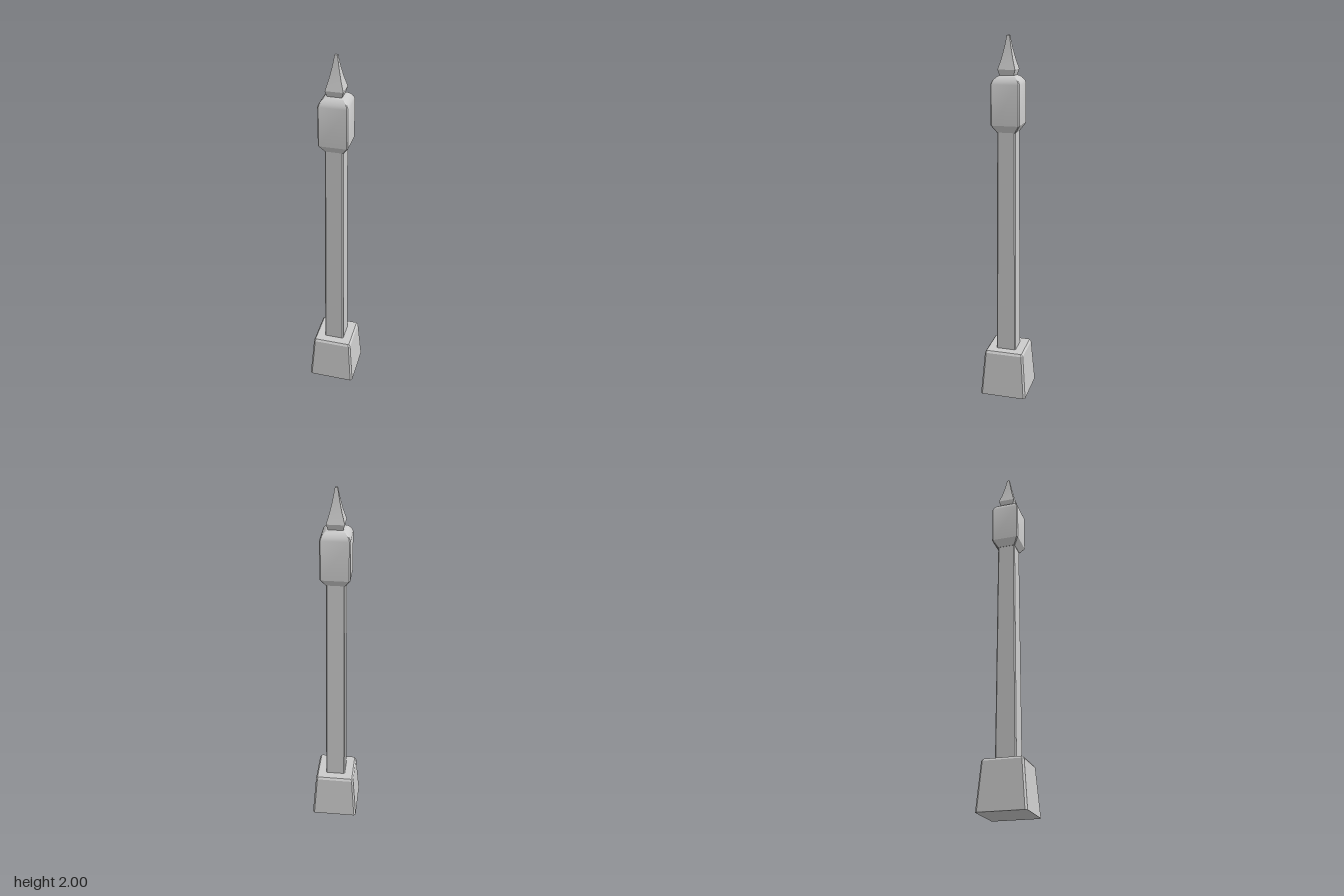
import * as THREE from 'three';
import { toCreasedNormals } from 'three/addons/utils/BufferGeometryUtils.js';

const material = new THREE.MeshStandardMaterial({ color: 0xcccccc });

// Square cross-section at height y: half width h, corner chamfer c (0 = sharp).
function squareRing([y, h, c = 0]) {
  const corner = c > 0 ? [[h, c - h], [h - c, -h]] : [[h, -h]];
  const ring = [];
  for (let k = 0; k < 4; k++) {
    for (const [x, z] of corner) {
      let p = [x, z];
      for (let r = 0; r < k; r++) p = [p[1], -p[0]];
      ring.push([p[0], y, p[1]]);
    }
  }
  return ring;
}

// Closed solid lofted through square sections, bottom to top.
function loft(name, sections) {
  const rings = sections.map(squareRing);
  const n = rings[0].length;
  const pos = [];
  const tri = (a, b, c) => pos.push(...a, ...b, ...c);
  for (let s = 0; s < rings.length - 1; s++) {
    const lo = rings[s], up = rings[s + 1];
    for (let i = 0; i < n; i++) {
      const j = (i + 1) % n;
      tri(lo[i], lo[j], up[j]);
      tri(lo[i], up[j], up[i]);
    }
  }
  const bottom = rings[0], top = rings[rings.length - 1];
  for (let i = 1; i < n - 1; i++) {
    tri(top[0], top[i], top[i + 1]);
    tri(bottom[0], bottom[i + 1], bottom[i]);
  }
  const geometry = new THREE.BufferGeometry();
  geometry.setAttribute('position', new THREE.Float32BufferAttribute(pos, 3));
  const mesh = new THREE.Mesh(toCreasedNormals(geometry, 0.45), material);
  mesh.name = name;
  return mesh;
}

export function createModel() {
  const group = new THREE.Group();
  group.name = 'post';

  // Tapered plinth with a bevelled top edge
  group.add(loft('base', [[0, 0.131, 0.01], [0.253, 0.111, 0.009], [0.265, 0.102, 0.004]]));

  // Slightly tapering shaft
  group.add(loft('shaft', [[0.26, 0.056, 0.006], [1.52, 0.049, 0.006]]));

  // Wider head block with a flared underside and rounded shoulders
  group.add(loft('head', [
    [1.508, 0.051, 0.004], [1.547, 0.077, 0.006], [1.757, 0.077, 0.006],
    [1.772, 0.071, 0.004], [1.785, 0.061, 0.003], [1.795, 0.049, 0.002], [1.801, 0.036, 0.001],
  ]));

  // Pointed finial with concave sides
  group.add(loft('finial', [
    [1.795, 0.036], [1.83, 0.046], [1.885, 0.03], [1.94, 0.0175], [2, 0.007],
  ]));

  return group;
}
